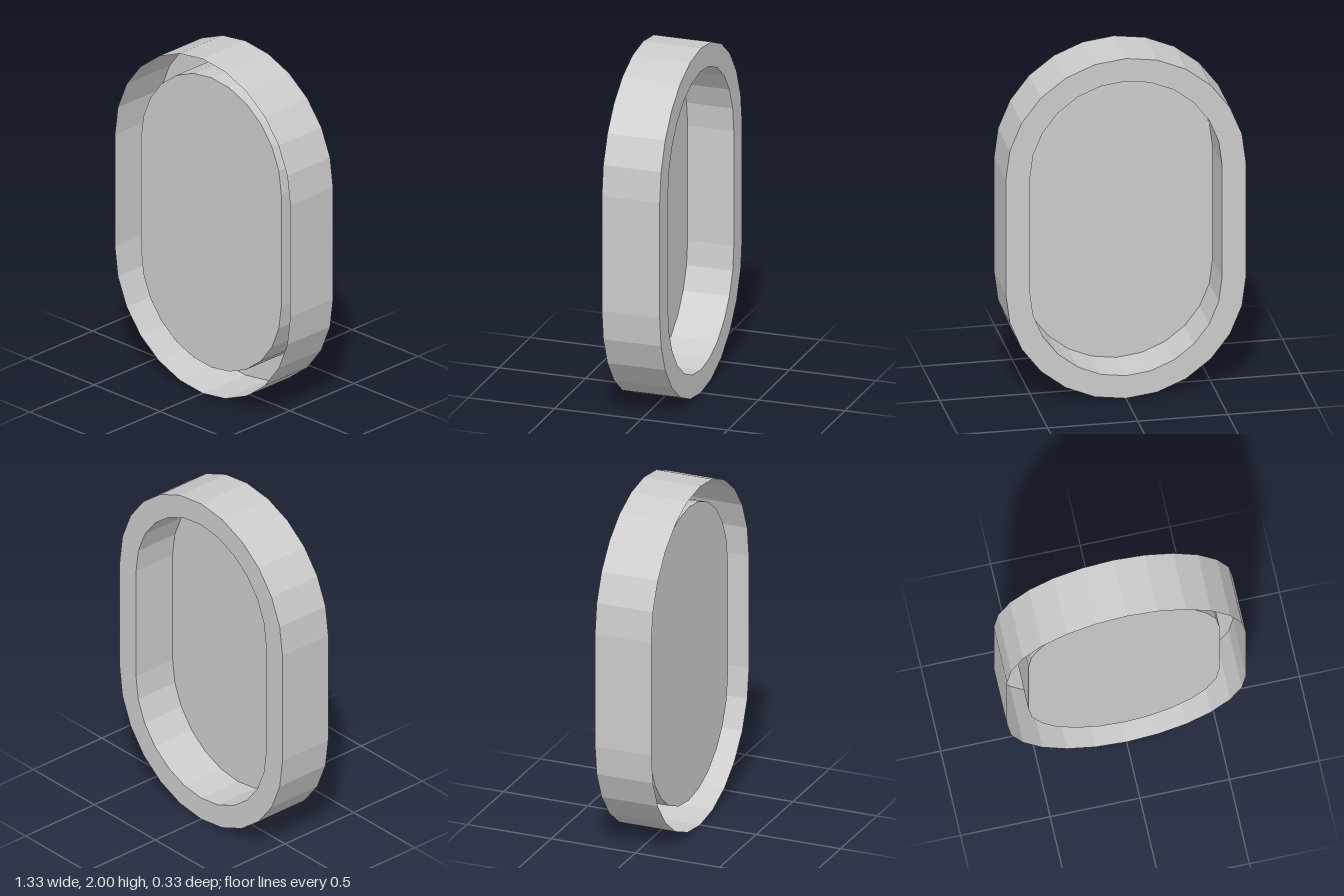
import * as THREE from 'three';

const R_OUT = 2 / 3, R_IN = 0.533, OFFSET = 1 / 3; // end-arc radii and distance of arc centres from the middle
const Z_FRONT = 0.167, Z_BACK = -0.167, Z_PANEL = 0.1;
const SEGMENTS = 12; // facets per half-round end

// Counter-clockwise stadium outline centred at y = 1
function outline(radius) {
  const points = [];
  for (const end of [0, 1]) {
    for (let i = 0; i <= SEGMENTS; i++) {
      const a = Math.PI * (end + i / SEGMENTS);
      points.push(new THREE.Vector2(
        radius * Math.cos(a),
        1 + (end ? -OFFSET : OFFSET) + radius * Math.sin(a)));
    }
  }
  return points;
}

// Faceted band following the outline between two depths
function wall(radius, z0, z1) {
  const pts = outline(radius), pos = [];
  pts.forEach((a, i) => {
    const b = pts[(i + 1) % pts.length];
    pos.push(a.x, a.y, z0, b.x, b.y, z0, b.x, b.y, z1);
    pos.push(a.x, a.y, z0, b.x, b.y, z1, a.x, a.y, z1);
  });
  const g = new THREE.BufferGeometry();
  g.setAttribute('position', new THREE.Float32BufferAttribute(pos, 3));
  g.computeVertexNormals();
  return g;
}

export function createModel() {
  const group = new THREE.Group();
  const material = new THREE.MeshStandardMaterial({
    color: 0xcccccc, flatShading: true, side: THREE.DoubleSide });
  const add = (name, geometry) => {
    const mesh = new THREE.Mesh(geometry, material);
    mesh.name = name;
    group.add(mesh);
  };

  // Outer shell, open at the front
  add('outerWall', wall(R_OUT, Z_BACK, Z_FRONT));

  // Flat rim closing the back between outer and inner walls
  const rim = new THREE.Shape(outline(R_OUT));
  rim.holes.push(new THREE.Path(outline(R_IN)));
  add('backRim', new THREE.ShapeGeometry(rim).rotateY(Math.PI).translate(0, 0, Z_BACK));

  // Inner wall running forward from the rim (facing inwards)
  add('innerWall', wall(R_IN, Z_PANEL, Z_BACK));

  // Panel set slightly behind the front edge
  add('panel', new THREE.ShapeGeometry(new THREE.Shape(outline(R_IN))).translate(0, 0, Z_PANEL));

  return group;
}
